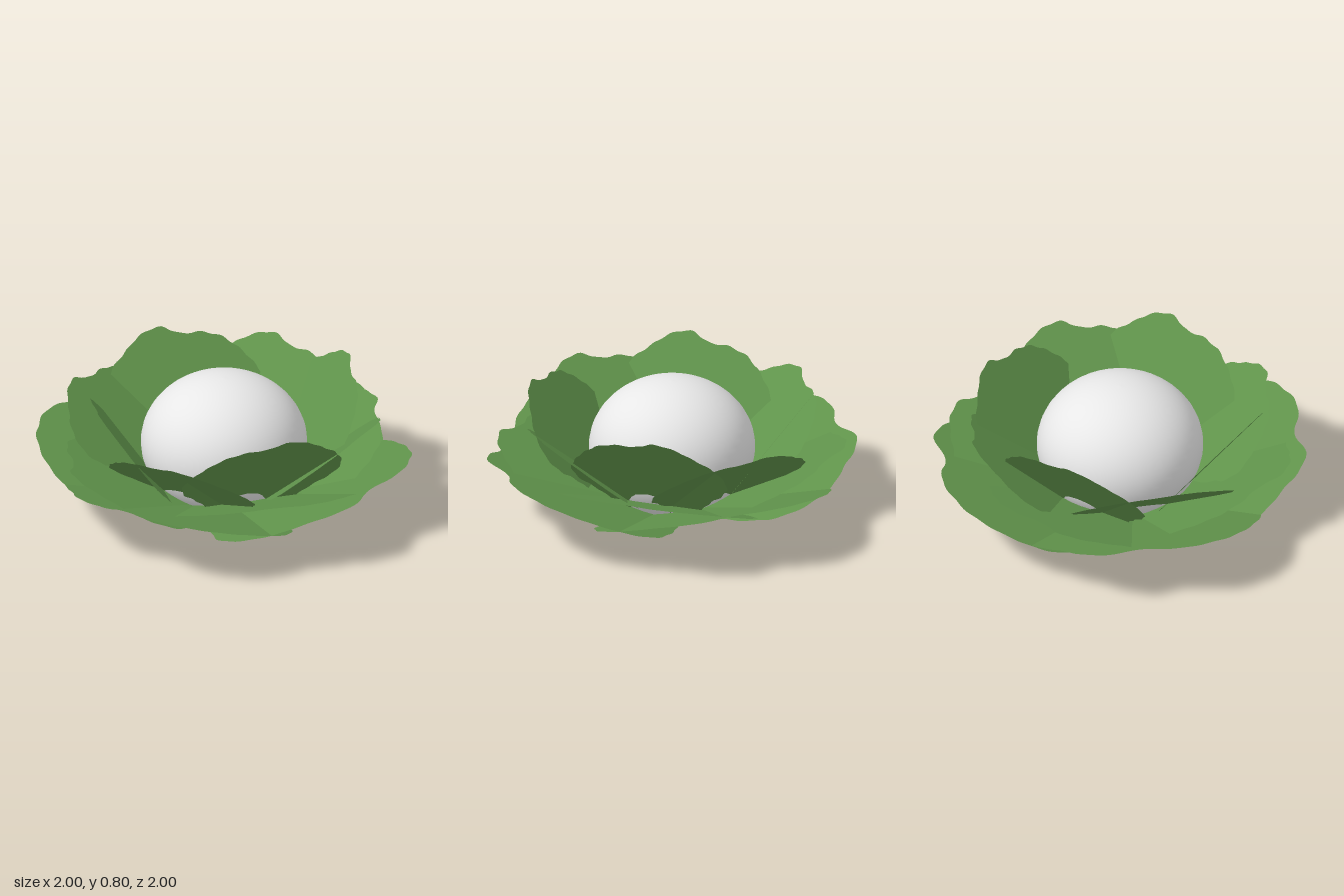
import * as THREE from 'three';

// Leaf outlines: x across the leaf, y measured down from the tip.
const SMALL_LEAF = {
  crown: [
    [0.27, -0.71], [0.385, -0.57], [0.47, -0.47], [0.515, -0.38], [0.51, -0.30], [0.465, -0.215], [0.36, -0.105],
    [0.28, -0.043], [0.14, 0], [0.02, -0.055], [-0.08, -0.06], [-0.2, -0.095],
    [-0.28, -0.17], [-0.37, -0.28], [-0.41, -0.37], [-0.385, -0.48], [-0.3, -0.58], [-0.22, -0.67],
  ],
  foot: { from: -0.22, to: 0.27, y: -0.72 },
};
const BROAD_LEAF = {
  crown: [
    [0.35, -0.97], [0.47, -0.89], [0.58, -0.79], [0.67, -0.65], [0.69, -0.48], [0.64, -0.345], [0.54, -0.2],
    [0.41, -0.075], [0.30, -0.03], [0.15, 0], [0.02, -0.02], [-0.12, -0.076], [-0.25, -0.05],
    [-0.36, -0.07], [-0.46, -0.15], [-0.54, -0.26], [-0.66, -0.41], [-0.70, -0.59], [-0.64, -0.79],
    [-0.49, -0.93], [-0.35, -1.0],
  ],
  foot: { from: -0.35, to: 0.35, y: -1.0 },
};

function leafGeometry({ crown, foot }) {
  const curve = new THREE.CatmullRomCurve3(crown.map(([x, y]) => new THREE.Vector3(x, y, 0)));
  const n = 120;
  const points = [];
  for (let i = 0; i <= n; i++) {
    const p = curve.getPointAt(i / n);
    const t = curve.getTangentAt(i / n);
    // small uneven scallops along the rim
    const wave = 0.004 * Math.sin(i * 0.9) + 0.003 * Math.sin(i * 0.37 + 1);
    points.push(new THREE.Vector2(p.x + t.y * wave, p.y - t.x * wave));
  }
  // ragged cut at the foot
  const teeth = 12;
  for (let i = 1; i < teeth; i++) {
    const y = foot.y + (i % 2 ? 0.025 : -0.025) + 0.01 * Math.sin(i * 2.3);
    points.push(new THREE.Vector2(THREE.MathUtils.lerp(foot.from, foot.to, i / teeth), y));
  }
  return new THREE.ShapeGeometry(new THREE.Shape(points));
}

export function createModel() {
  const model = new THREE.Group();
  const green = new THREE.MeshStandardMaterial({ color: 0x60934b, side: THREE.DoubleSide });
  green.name = 'leaf green';
  const white = new THREE.MeshStandardMaterial({ color: 0xe8e8e8 });
  white.name = 'head white';

  // Rounded head with a slightly dimpled underside
  const profile = [[0, 0.03], [0.06, 0.018], [0.12, 0.004], [0.18, 0.002], [0.26, 0.04]]
    .map(([x, y]) => new THREE.Vector2(x, y));
  for (let i = 0; i <= 28; i++) {
    const a = -0.82 + (i / 28) * (Math.PI / 2 + 0.82);
    profile.push(new THREE.Vector2(Math.max(0, 0.47 * Math.cos(a)), 0.403 + 0.4 * Math.sin(a)));
  }
  const head = new THREE.Mesh(new THREE.LatheGeometry(profile, 40), white);
  head.name = 'head';
  model.add(head);

  // Rings of four flat leaves: tip radius, tip height, rise per unit of radius, turn in degrees
  const small = leafGeometry(SMALL_LEAF);
  const broad = leafGeometry(BROAD_LEAF);
  const rings = [
    { name: 'innerLeaf', shape: small, size: 1, radius: 0.785, height: 0.76, slope: 1.4, turn: 0 },
    { name: 'upperLeaf', shape: small, size: 1, radius: 0.885, height: 0.65, slope: 0.85, turn: 45 },
    { name: 'lowerLeaf', shape: small, size: 1.3, radius: 0.957, height: 0.44, slope: 0.4, turn: 0 },
    { name: 'outerLeaf', shape: broad, size: 1, radius: 1.055, height: 0.405, slope: 0.35, turn: 45 },
  ];
  for (const ring of rings) {
    for (let i = 0; i < 4; i++) {
      const leaf = new THREE.Mesh(ring.shape, green);
      leaf.scale.setScalar(ring.size);
      leaf.position.set(0, ring.height, ring.radius);
      leaf.rotation.x = Math.atan(1 / ring.slope);
      const holder = new THREE.Group();
      holder.name = ring.name;
      holder.rotation.y = THREE.MathUtils.degToRad(ring.turn + i * 90);
      holder.add(leaf);
      model.add(holder);
    }
  }
  return model;
}
